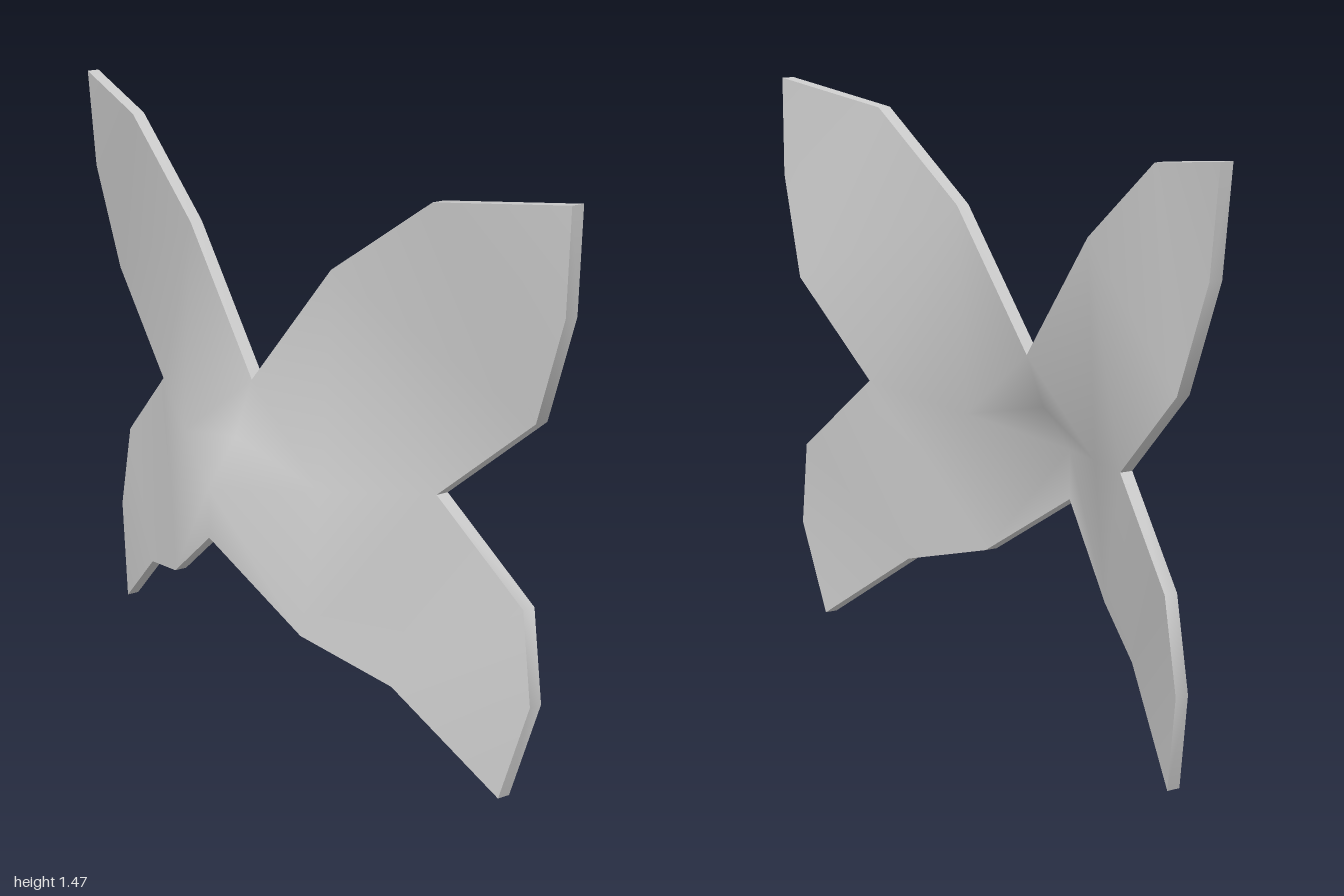
import * as THREE from 'three';
import { toCreasedNormals } from 'three/addons/utils/BufferGeometryUtils.js';

const THICKNESS = 0.034;

// Outline of one side, from the top centre round to the bottom centre
const outline = [
  [0, 0.86, 0.04], [0.3, 1.2, 0.02], [0.63, 1.42, -0.02], [1, 1.47, -0.11],
  [0.98, 1.21, -0.12], [0.88, 0.94, -0.13], [0.59, 0.7, -0.08],
  [0.85, 0.48, -0.135], [0.89, 0.25, -0.13], [0.82, 0, -0.1],
  [0.53, 0.21, 0], [0.28, 0.28, 0.09], [0, 0.47, 0.17],
];
// Inner points: ridge peak, ridge slope and wing root
const points = [...outline, [0, 0.6, 0.17], [0, 0.72, 0.09], [0.3, 0.65, 0.045]];

const faces = [
  // upper wing
  [2, 4, 3], [2, 5, 4], [1, 5, 2], [1, 6, 5],
  // root
  [1, 15, 6], [0, 15, 1], [0, 14, 15], [14, 13, 15], [13, 12, 11], [13, 11, 15], [15, 11, 6],
  // lower wing
  [11, 10, 6], [10, 7, 6], [10, 8, 7], [10, 9, 8],
];

function wingGeometry() {
  const positions = [];
  const front = (i) => points[i];
  const back = (i) => [points[i][0], points[i][1], points[i][2] - THICKNESS];

  for (const side of [1, -1]) {
    // mirroring flips the corner order
    const addTriangle = (a, b, c) => {
      for (const p of side > 0 ? [a, b, c] : [a, c, b]) positions.push(side * p[0], p[1], p[2]);
    };
    // front and back skins
    for (const [a, b, c] of faces) {
      addTriangle(front(a), front(b), front(c));
      addTriangle(back(a), back(c), back(b));
    }
    // rim
    for (let i = 0; i < outline.length - 1; i++) {
      addTriangle(front(i), front(i + 1), back(i + 1));
      addTriangle(front(i), back(i + 1), back(i));
    }
  }
  const geometry = new THREE.BufferGeometry();
  geometry.setAttribute('position', new THREE.Float32BufferAttribute(positions, 3));
  return toCreasedNormals(geometry, 0.9);
}

export function createModel() {
  const group = new THREE.Group();
  group.name = 'butterflyWings';
  const wings = new THREE.Mesh(wingGeometry(), new THREE.MeshStandardMaterial({ color: 0xcccccc }));
  wings.name = 'wings';
  group.add(wings);
  return group;
}
